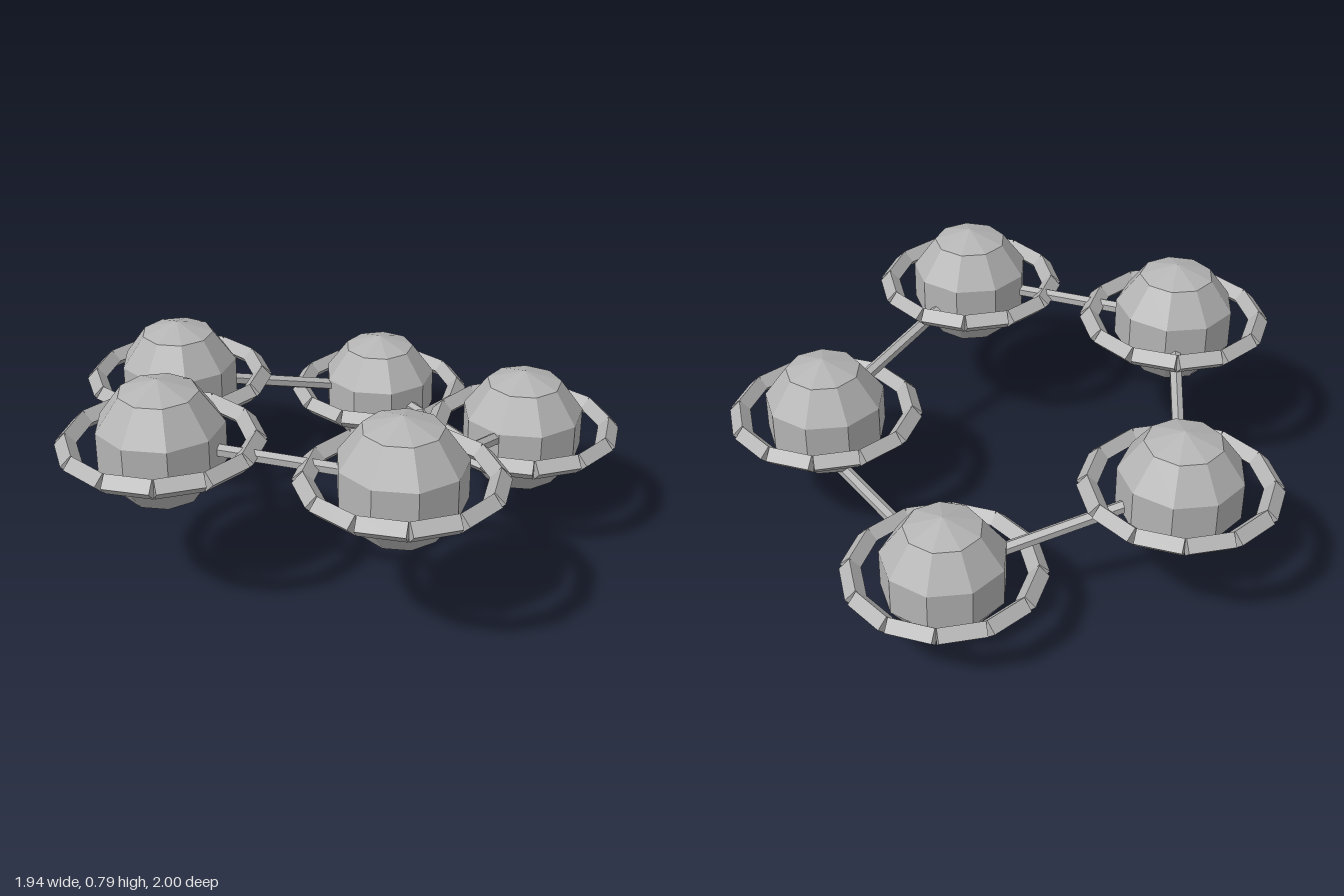
import * as THREE from 'three';

export function createModel() {
  const model = new THREE.Group();
  const grey = new THREE.MeshStandardMaterial({ color: 0xb4b4b4 });
  const faceted = (g) => {
    const flat = g.toNonIndexed();
    flat.computeVertexNormals();
    return flat;
  };

  const count = 5, orbit = 0.688, centreX = -0.066;
  const baseY = 0.381, wave = 0.206;
  const ringRadius = 0.301, ringSides = 12;

  // Low-poly ball, one corner toward +x
  const ballGeo = faceted(new THREE.SphereGeometry(0.225, 9, 5).rotateY(Math.PI));
  // Diamond-section bar lying along z
  const barGeo = faceted(new THREE.CylinderGeometry(0.036, 0.036, 0.157, 4).rotateX(Math.PI / 2));

  // Place on the pentagon, height following a sine wave
  const nodePosition = (i) => {
    const a = (i / count) * Math.PI * 2;
    return new THREE.Vector3(
      centreX + orbit * Math.cos(a),
      baseY + wave * Math.sin(i),
      orbit * Math.sin(a)
    );
  };

  // Segmented ring around a ball
  const makeRing = () => {
    const ring = new THREE.Group();
    ring.name = 'ring';
    for (let k = 0; k < ringSides; k++) {
      const a = ((k + 0.5) / ringSides) * Math.PI * 2;
      const bar = new THREE.Mesh(barGeo, grey);
      bar.name = 'ringSegment';
      bar.position.set(ringRadius * Math.cos(a), 0, ringRadius * Math.sin(a));
      bar.rotation.y = -a;
      ring.add(bar);
    }
    return ring;
  };

  // Six-sided rod between two points
  const makeRod = (from, to) => {
    const geo = new THREE.CylinderGeometry(0.023, 0.023, from.distanceTo(to), 6);
    const rod = new THREE.Mesh(faceted(geo.rotateX(Math.PI / 2)), grey);
    rod.name = 'connectingRod';
    rod.position.copy(from).lerp(to, 0.5);
    rod.lookAt(to);
    return rod;
  };

  for (let i = 0; i < count; i++) {
    const node = new THREE.Group();
    node.name = 'ringedBall';
    const ball = new THREE.Mesh(ballGeo, grey);
    ball.name = 'ball';
    node.add(ball, makeRing());
    node.position.copy(nodePosition(i));
    // The last rod carries the wave on, ending low in the first ball
    model.add(node, makeRod(nodePosition(i), nodePosition(i + 1)));
  }
  return model;
}
